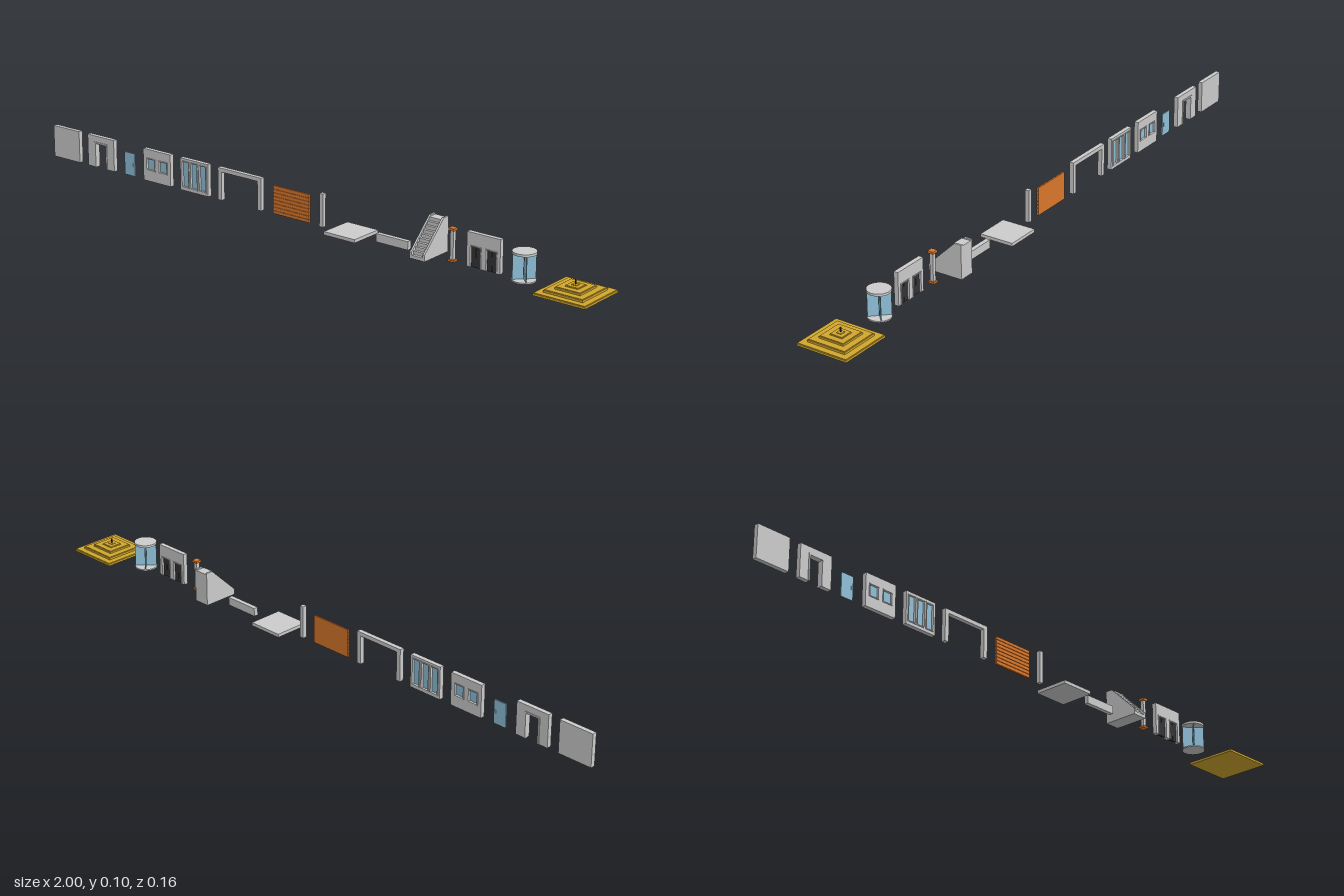
import * as THREE from 'three';

const mat = (color) => new THREE.MeshStandardMaterial({ color });
const GREY = mat(0xcccccc), GLASS = mat(0x8fc0d8), ORANGE = mat(0xd9772b);
const GOLD = mat(0xd0a62c), DARK = mat(0x333338);
const H = 0.1, T = 0.014;

// Box given by its x, y and z limits
function box(parent, name, x0, x1, y0, y1, z0, z1, m = GREY) {
  const mesh = new THREE.Mesh(new THREE.BoxGeometry(x1 - x0, y1 - y0, z1 - z0), m);
  mesh.position.set((x0 + x1) / 2, (y0 + y1) / 2, (z0 + z1) / 2);
  mesh.name = name;
  parent.add(mesh);
  return mesh;
}

function disc(parent, name, r, y0, y1, m = GREY) {
  const mesh = new THREE.Mesh(new THREE.CylinderGeometry(r, r, y1 - y0, 32), m);
  mesh.position.y = (y0 + y1) / 2;
  mesh.name = name;
  parent.add(mesh);
}

// Shape from points, extruded and centred in depth
function slab(parent, name, pts, depth, holes = [], m = GREY) {
  const toV = (list) => list.map(([x, y]) => new THREE.Vector2(x, y));
  const shape = new THREE.Shape(toV(pts));
  for (const h of holes) shape.holes.push(new THREE.Path(toV(h)));
  const geo = new THREE.ExtrudeGeometry(shape, { depth, bevelEnabled: false });
  geo.translate(0, 0, -depth / 2);
  const mesh = new THREE.Mesh(geo, m);
  mesh.name = name;
  parent.add(mesh);
  return mesh;
}

const rect = (x0, x1, y0, y1) => [[x0, y0], [x1, y0], [x1, y1], [x0, y1]];

// Upside-down U standing on the ground
const arch = (w, h, iw, ih) => [[-w, 0], [-iw, 0], [-iw, ih], [iw, ih], [iw, 0], [w, 0], [w, h], [-w, h]];

export function createModel() {
  const model = new THREE.Group();
  model.name = 'buildingParts';
  const part = (name, x) => {
    const g = new THREE.Group();
    g.name = name;
    g.position.x = x;
    model.add(g);
    return g;
  };
  const W = 0.055;

  box(part('plainWall', -0.945), 'wall', -W, W, 0, H, -T / 2, T / 2);

  // Wall with a doorway and a raised trim
  const doorway = part('doorwayWall', -0.798);
  slab(doorway, 'wall', arch(W, H, 0.021, 0.076), T);
  slab(doorway, 'doorTrim', arch(0.026, 0.081, 0.021, 0.076), 0.018);

  // Glass door with a handle on both sides
  const door = part('glassDoor', -0.682);
  box(door, 'doorPane', -0.021, 0.021, 0, 0.072, -0.002, 0.002, GLASS);
  box(door, 'doorHandle', 0.014, 0.016, 0.03, 0.042, -0.004, 0.004);

  // Walls with framed glass panes
  function windowWall(name, x, centres, half, y0, y1) {
    const g = part(name, x);
    slab(g, 'wall', rect(-W, W, 0, H), T, centres.map((c) => rect(c - half, c + half, y0, y1)));
    for (const c of centres) {
      const f = 0.003;
      slab(g, 'windowFrame', rect(c - half - f, c + half + f, y0 - f, y1 + f), 0.018,
        [rect(c - half, c + half, y0, y1)]);
      box(g, 'windowPane', c - half, c + half, y0, y1, -0.002, 0.002, GLASS);
    }
  }
  windowWall('twoWindowWall', -0.565, [-0.025, 0.025], 0.015, 0.036, 0.07);
  windowWall('tallWindowWall', -0.415, [-0.034, 0, 0.034], 0.012, 0.012, 0.09);

  // Garage opening and its slatted door
  slab(part('garageFrame', -0.238), 'frame', arch(0.083, H, 0.069, 0.088), T);
  const garage = part('garageDoor', -0.046);
  box(garage, 'doorSheet', -0.067, 0.067, 0, 0.087, -0.003, 0.001, ORANGE);
  const slats = 8, step = 0.087 / slats;
  for (let i = 0; i < slats; i++) {
    box(garage, 'doorSlat', -0.067, 0.067, i * step + 0.001, (i + 1) * step - 0.001, 0.001, 0.003, ORANGE);
  }

  // Post, floor slab and low wall
  box(part('post', 0.068), 'post', -0.0065, 0.0065, 0, H, -0.0065, 0.0065);
  box(part('floorSlab', 0.171), 'slab', -W, W, 0, 0.01, -0.054, 0.054);
  box(part('lowWall', 0.321), 'wall', -W, W, 0, 0.025, -T / 2, T / 2);

  // Staircase rising to the back between two solid sides
  const stairs = part('staircase', 0.443);
  const steps = 10, run = 0.0088;
  for (const s of [-1, 1]) {
    const side = slab(stairs, 'stairSide',
      [[-0.055, 0], [0.055, 0], [0.055, 0.018], [-0.033, 0.104], [-0.055, 0.104]], 0.006);
    side.rotation.y = -Math.PI / 2;
    side.position.x = s * 0.022;
  }
  for (let i = 0; i < steps; i++) {
    const front = 0.054 - i * run;
    box(stairs, 'step', -0.019, 0.019, 0, 0.01 * (i + 1), i === steps - 1 ? -0.055 : front - run, front);
  }

  // Column with timber base and capital
  const column = part('column', 0.523);
  box(column, 'columnShaft', -0.0055, 0.0055, 0.004, 0.094, -0.0055, 0.0055);
  box(column, 'columnBase', -0.0095, 0.0095, 0, 0.006, -0.0095, 0.0095, ORANGE);
  box(column, 'columnCapital', -0.0095, 0.0095, 0.09, 0.097, -0.0095, 0.0095, ORANGE);

  // Wall with two pairs of dark sliding doors
  const lift = part('twinDoorWall', 0.629);
  const c = 0.026, hw = 0.016, dh = 0.06;
  slab(lift, 'wall', [[-W, 0], [-c - hw, 0], [-c - hw, dh], [-c + hw, dh], [-c + hw, 0],
    [c - hw, 0], [c - hw, dh], [c + hw, dh], [c + hw, 0], [W, 0], [W, H], [-W, H]], T);
  for (const s of [-1, 1]) {
    for (const d of [-1, 1]) {
      const m = s * c + d * hw / 2;
      box(lift, 'slidingDoor', m - 0.0076, m + 0.0076, 0, dh, -0.003, 0.003, DARK);
    }
    const trim = slab(lift, 'doorTrim', arch(hw + 0.003, dh + 0.003, hw, dh), 0.018);
    trim.position.x = s * c;
  }

  // Revolving door: crossed panes between two discs
  const revolving = part('revolvingDoor', 0.757);
  disc(revolving, 'floorDisc', 0.034, 0, 0.004);
  disc(revolving, 'roofDisc', 0.034, 0.077, 0.084);
  disc(revolving, 'centrePost', 0.002, 0.004, 0.077, DARK);
  for (const s of [-1, 1]) {
    const pane = box(revolving, 'crossPane', -0.0325, 0.0325, 0.004, 0.077, -0.001, 0.001, GLASS);
    pane.rotation.y = s * Math.PI / 4;
  }

  // Stepped golden roof with a finial
  const roof = part('steppedRoof', 0.919);
  [[0.081, 0, 0.008], [0.061, 0.008, 0.016], [0.04, 0.016, 0.023], [0.021, 0.023, 0.026]].forEach(([h, y0, y1]) => {
    box(roof, 'roofTier', -h, h, y0, y1 - 0.002, -h, h, GOLD);
    box(roof, 'tierLip', -h + 0.002, h - 0.002, y1 - 0.002, y1, -h + 0.002, h - 0.002, GOLD);
  });
  box(roof, 'finialBase', -0.008, 0.008, 0.026, 0.028, -0.008, 0.008, GOLD);
  box(roof, 'finial', -0.0015, 0.0015, 0.028, 0.042, -0.0015, 0.0015, DARK);

  return model;
}
